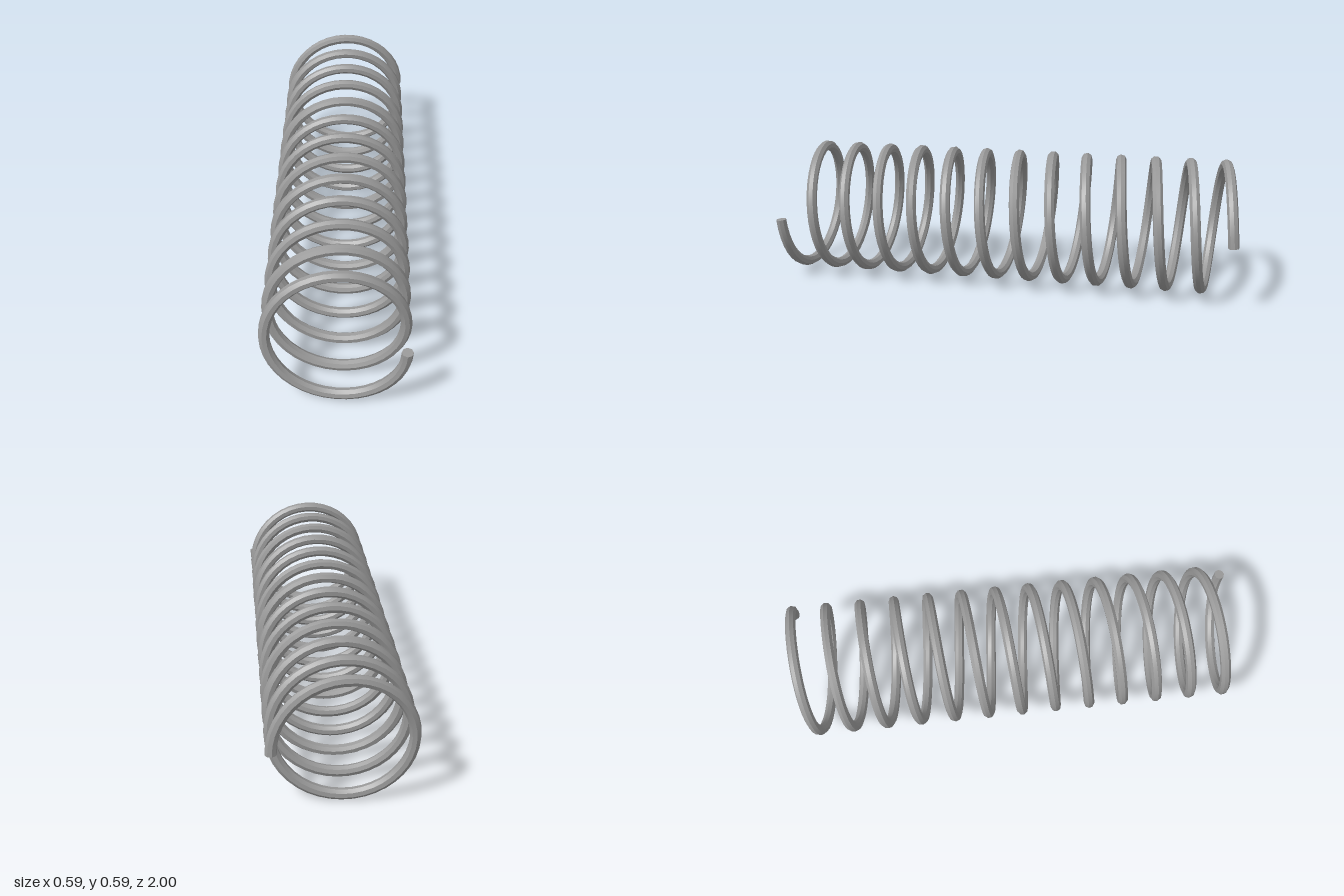
import * as THREE from 'three';
import { toCreasedNormals } from 'three/addons/utils/BufferGeometryUtils.js';

const TURNS = 13;
const COIL_RADIUS = 0.27;
const WIRE_RADIUS = 0.0227;
const HALF_LENGTH = 0.977;
const CENTRE_Y = COIL_RADIUS + WIRE_RADIUS + 0.001;
const SEGMENTS = TURNS * 40;
const SIDES = 8;

// Centre line of the wire: from the front end, first down, winding to the back
class Helix extends THREE.Curve {
  getPoint(t, target = new THREE.Vector3()) {
    const a = -t * TURNS * Math.PI * 2;
    return target.set(
      Math.cos(a) * COIL_RADIUS,
      CENTRE_Y + Math.sin(a) * COIL_RADIUS,
      HALF_LENGTH * (1 - 2 * t)
    );
  }
}

// Flat end of the wire, made from one ring of the tube
function wireEnd(tube, ring, reversed) {
  const pos = tube.attributes.position;
  const corners = [];
  for (let i = 0; i < SIDES; i++) {
    corners.push(new THREE.Vector3().fromBufferAttribute(pos, ring * (SIDES + 1) + i));
  }
  if (reversed) corners.reverse();
  const points = [];
  for (let i = 1; i < SIDES - 1; i++) points.push(corners[0], corners[i], corners[i + 1]);
  const geometry = new THREE.BufferGeometry().setFromPoints(points);
  geometry.computeVertexNormals();
  return geometry;
}

export function createModel() {
  const group = new THREE.Group();
  group.name = 'coilSpring';
  const steel = new THREE.MeshStandardMaterial({ color: 0x999999 });
  steel.name = 'steel grey';

  const add = (name, geometry) => {
    const mesh = new THREE.Mesh(geometry, steel);
    mesh.name = name;
    group.add(mesh);
  };

  // Eight-sided wire, smooth along its length with sharp edges around it
  const tube = new THREE.TubeGeometry(new Helix(), SEGMENTS, WIRE_RADIUS, SIDES, false);
  add('coilWire', toCreasedNormals(tube, Math.PI / 6));
  add('frontWireEnd', wireEnd(tube, 0, false));
  add('backWireEnd', wireEnd(tube, SEGMENTS, true));
  return group;
}
